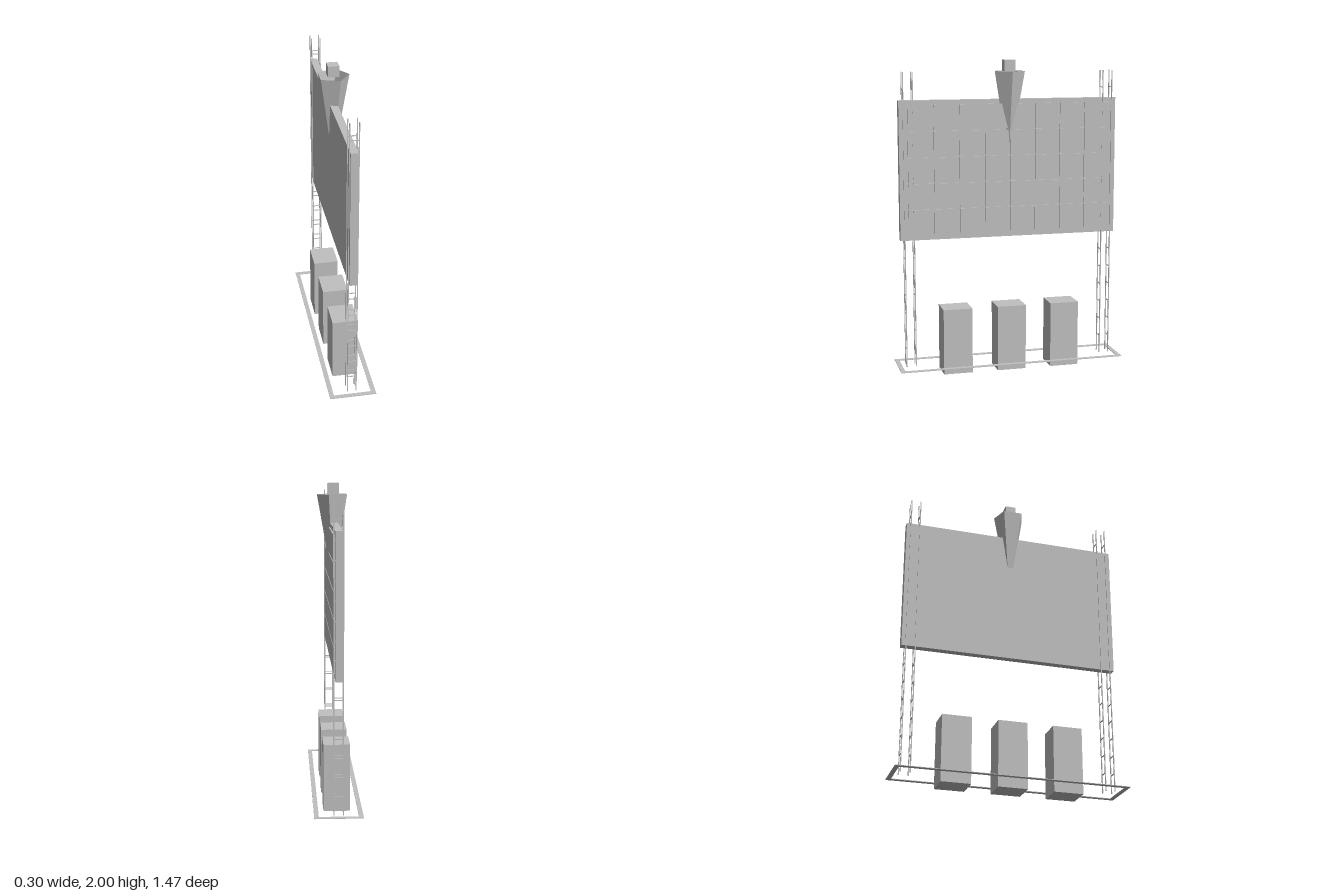
import * as THREE from 'three';

const grey = new THREE.MeshStandardMaterial({ color: 0xc0c0c0, flatShading: true, side: THREE.DoubleSide });
grey.name = 'plain grey';

function add(parent, name, geometry, x, y, z) {
  const mesh = new THREE.Mesh(geometry, grey);
  mesh.name = name;
  mesh.position.set(x, y, z);
  parent.add(mesh);
  return mesh;
}

const box = (parent, name, w, h, d, x, y, z) =>
  add(parent, name, new THREE.BoxGeometry(w, h, d), x, y, z);

// Lattice tower: four slim poles joined by rungs across the thin direction
function tower(z) {
  const group = new THREE.Group();
  group.name = 'tower';
  for (const dz of [-0.03, 0.03]) {
    for (const x of [-0.028, 0.028]) box(group, 'pole', 0.006, 1.876, 0.006, x, 0.992, z + dz);
    for (let i = 0; i < 15; i++) box(group, 'rung', 0.062, 0.005, 0.005, 0, 0.17 + i * 0.118, z + dz);
  }
  return group;
}

// Rectangular outline lying flat around the foot
function groundFrame() {
  const rect = (path, x, z) =>
    path.moveTo(-x, -z).lineTo(x, -z).lineTo(x, z).lineTo(-x, z).closePath();
  const shape = new THREE.Shape();
  rect(shape, 0.148, 0.735);
  const hole = new THREE.Path();
  rect(hole, 0.12, 0.707);
  shape.holes.push(hole);
  return new THREE.ExtrudeGeometry(shape, { depth: 0.004, bevelEnabled: false }).rotateX(-Math.PI / 2);
}

export function createModel() {
  const model = new THREE.Group();
  model.name = 'billboard';

  add(model, 'groundFrame', groundFrame(), 0, 0.051, 0);

  // Three foundation blocks
  for (const z of [-0.355, 0, 0.355]) box(model, 'foundationBlock', 0.164, 0.425, 0.188, 0, 0.2125, z);

  for (const side of [-1, 1]) model.add(tower(side * 0.65));

  // Board with a grid of raised square tiles on its +x face
  box(model, 'board', 0.047, 0.88, 1.416, -0.0025, 1.315, 0);
  const tiles = new THREE.Group();
  tiles.name = 'tiles';
  const pitch = 0.1645;
  for (let row = 0; row < 5; row++) {
    for (let col = 0; col < 8; col++) {
      box(tiles, 'tile', 0.009, 0.156, 0.156, 0.0255, 1.32 + (row - 2) * pitch, (col - 3.5) * pitch);
    }
  }
  model.add(tiles);

  // Open five-sided funnel piercing the board, with a cube at its mouth
  const funnel = new THREE.CylinderGeometry(0.103, 0, 0.58, 5, 1, true, Math.PI / 2);
  add(model, 'funnel', funnel, 0, 1.64, 0);
  box(model, 'topCube', 0.07, 0.07, 0.07, 0, 1.965, 0);

  return model;
}
